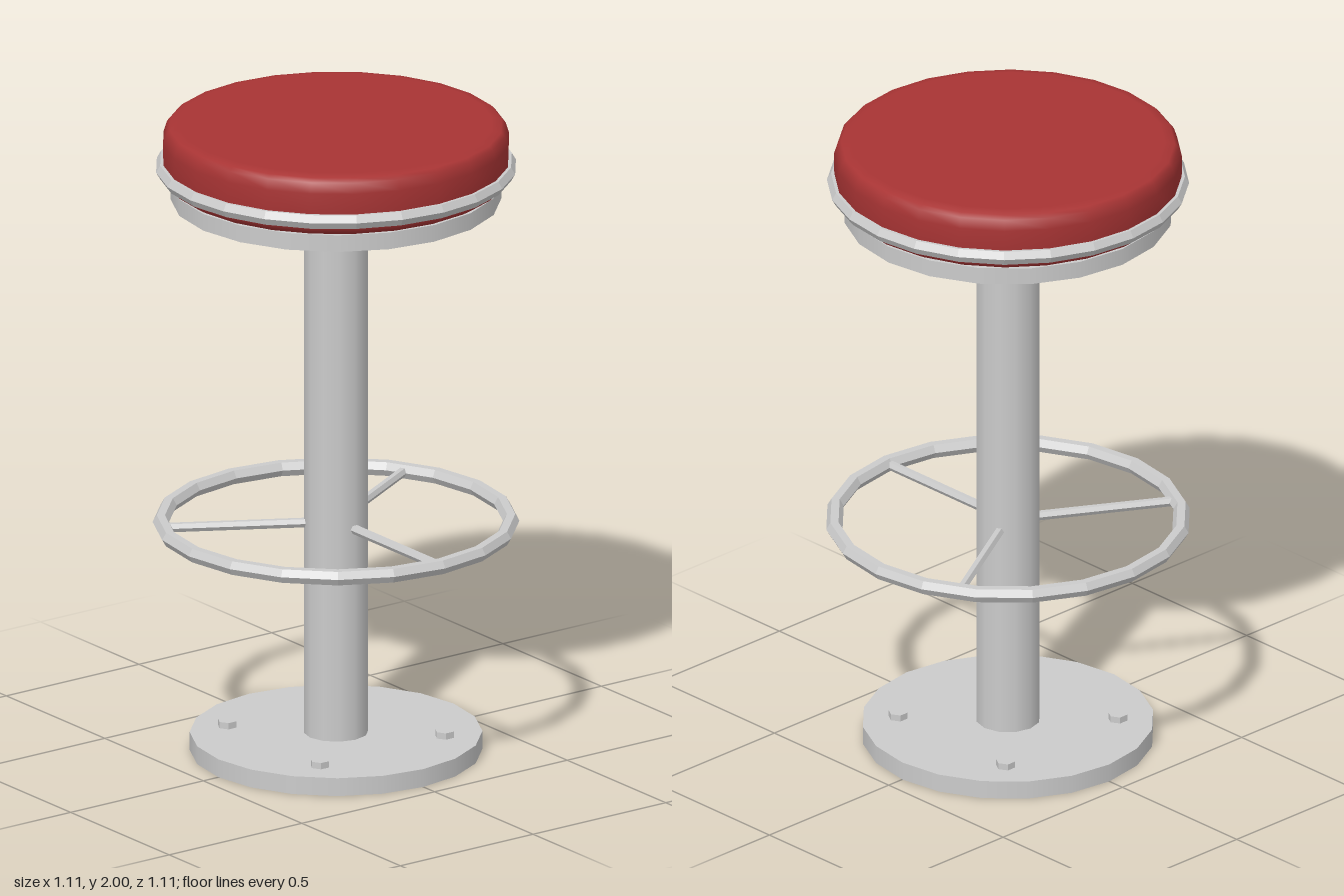
import * as THREE from 'three';

const metal = new THREE.MeshStandardMaterial({ color: 0xcccccc });
const facetedMetal = new THREE.MeshStandardMaterial({ color: 0xcccccc, flatShading: true });
const upholstery = new THREE.MeshStandardMaterial({ color: 0xa83434 });

export function createModel() {
  const stool = new THREE.Group();
  stool.name = 'barStool';

  function add(name, geometry, material, x = 0, y = 0, z = 0) {
    const mesh = new THREE.Mesh(geometry, material);
    mesh.name = name;
    mesh.position.set(x, y, z);
    stool.add(mesh);
    return mesh;
  }

  // Upright cylinder given by its bottom and top heights
  function disc(name, radius, bottom, top, sides, material = metal, x = 0, z = 0) {
    const geometry = new THREE.CylinderGeometry(radius, radius, top - bottom, sides);
    return add(name, geometry, material, x, (bottom + top) / 2, z);
  }

  // Horizontal ring with a hexagonal section
  function ring(name, radius, tube, y, sides) {
    const geometry = new THREE.TorusGeometry(radius, tube, 6, sides).rotateX(Math.PI / 2);
    return add(name, geometry, facetedMetal, 0, y, 0);
  }

  // Floor plate, column and seat plate
  disc('base', 0.443, 0, 0.057, 20);
  disc('column', 0.098, 0.05, 1.77, 12);
  disc('seatPlate', 0.5, 1.757, 1.81, 20);

  // Four bolts on the floor plate
  for (const x of [-0.235, 0.235]) {
    for (const z of [-0.235, 0.235]) {
      disc('bolt', 0.03, 0.05, 0.077, 6, facetedMetal, x, z);
    }
  }

  // Footrest ring with three horizontal spokes
  const footrestY = 0.728;
  ring('footrestRing', 0.53, 0.025, footrestY, 20);
  for (let i = 0; i < 3; i++) {
    const geometry = new THREE.CylinderGeometry(0.015, 0.015, 0.46, 6);
    geometry.rotateZ(Math.PI / 2).translate(0.3, 0, 0).rotateY((i * 2 * Math.PI) / 3);
    add('footrestSpoke', geometry, facetedMetal, 0, footrestY, 0);
  }

  // Padded cushion with rounded edges
  const profile = [
    [0, 1.808], [0.485, 1.808], [0.51, 1.822], [0.525, 1.85],
    [0.527, 1.95], [0.517, 1.982], [0.505, 1.994], [0.475, 2], [0, 2],
  ].map(([r, y]) => new THREE.Vector2(r, y));
  add('cushion', new THREE.LatheGeometry(profile, 24), upholstery);

  // Metal trim around the cushion
  ring('cushionTrim', 0.523, 0.025, 1.863, 24);

  return stool;
}
